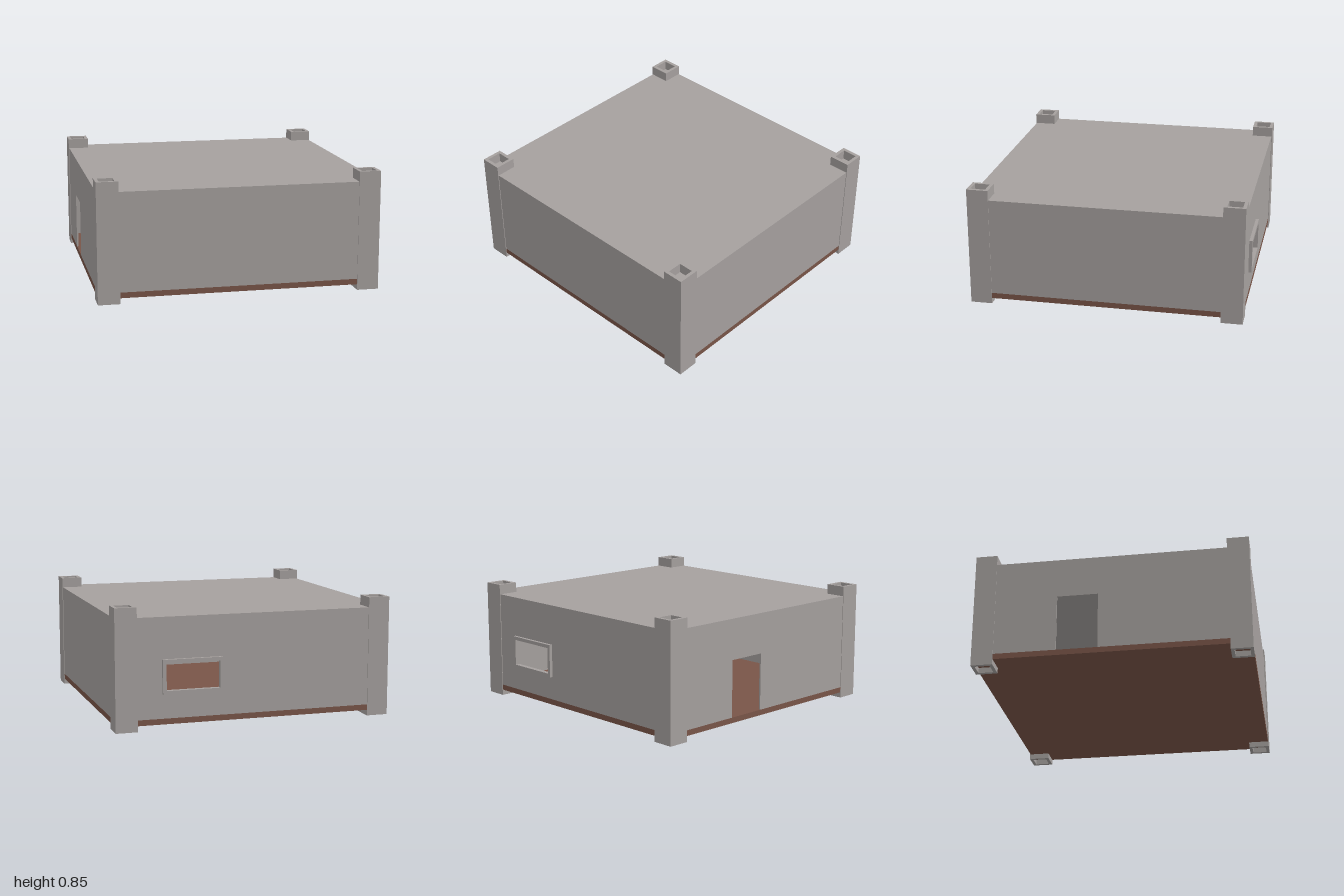
import * as THREE from 'three';

const X = 0.994, ZF = 0.975, ZB = -0.96; // outer faces of the walls
const FLOOR = 0.08, ROOF = 0.78, T = 0.012;

function rectPath(P, x0, y0, x1, y1) {
  const p = new P();
  p.moveTo(x0, y0);
  p.lineTo(x1, y0);
  p.lineTo(x1, y1);
  p.lineTo(x0, y1);
  p.closePath();
  return p;
}

// Rectangle [x0, y0, x1, y1] with an optional rectangular opening, extruded along +z
function panel(outer, hole, depth) {
  const s = rectPath(THREE.Shape, ...outer);
  if (hole) s.holes.push(rectPath(THREE.Path, ...hole));
  return new THREE.ExtrudeGeometry(s, { depth, bevelEnabled: false });
}

export function createModel() {
  const model = new THREE.Group();
  model.name = 'building';
  const stone = new THREE.MeshStandardMaterial({ color: 0xa5a09e });
  stone.name = 'warm grey';
  const wood = new THREE.MeshStandardMaterial({ color: 0x795548 });
  wood.name = 'brown';

  const add = (name, geometry, material) => {
    const mesh = new THREE.Mesh(geometry, material);
    mesh.name = name;
    model.add(mesh);
    return mesh;
  };
  const slab = (name, y0, y1, material) => {
    const g = new THREE.BoxGeometry(2 * X, y1 - y0, ZF - ZB);
    add(name, g, material).position.set(0, (y0 + y1) / 2, (ZF + ZB) / 2);
  };

  // Floor and roof run through the hollow corner posts
  slab('floor', 0.04, FLOOR, wood);
  slab('roof', ROOF - T, ROOF, stone);

  // Thin walls: the back one has a window, the right one a doorway
  const top = ROOF - T;
  add('frontWall', panel([-X, FLOOR, X, top], null, T), stone).position.z = ZF - T;
  add('backWall', panel([-X, FLOOR, X, top], [0.265, 0.275, 0.645, 0.465], T), stone).position.z = ZB;

  const side = [ZB + T, FLOOR, ZF - T, top];
  const leftWall = panel(side, null, T);
  leftWall.rotateY(-Math.PI / 2); // panel x becomes z
  add('leftWall', leftWall, stone).position.x = X;

  const doorWall = new THREE.Shape();
  [[side[0], FLOOR], [-0.37, FLOOR], [-0.37, 0.49], [-0.08, 0.49], [-0.08, FLOOR],
    [side[2], FLOOR], [side[2], top], [side[0], top]]
    .forEach(([z, y], i) => (i ? doorWall.lineTo(z, y) : doorWall.moveTo(z, y)));
  const rightWall = new THREE.ExtrudeGeometry(doorWall, { depth: T, bevelEnabled: false });
  rightWall.rotateY(-Math.PI / 2);
  add('rightWall', rightWall, stone).position.x = -X + T;

  // Frame standing out from the back wall
  add('windowFrame', panel([0.24, 0.25, 0.67, 0.49], [0.265, 0.275, 0.645, 0.465], 0.03), stone)
    .position.z = -0.983;

  // Square hollow posts, open at both ends
  const h = 0.077, r = h - 0.024;
  const post = panel([-h, -h, h, h], [-r, -r, r, r], 0.852);
  post.rotateX(-Math.PI / 2);
  for (const x of [-1, 1]) {
    for (const z of [ZB - 0.005 + h, ZF + 0.005 - h]) {
      add('cornerPost', post, stone).position.set(x * (0.998 - h), 0, z);
    }
  }
  return model;
}
